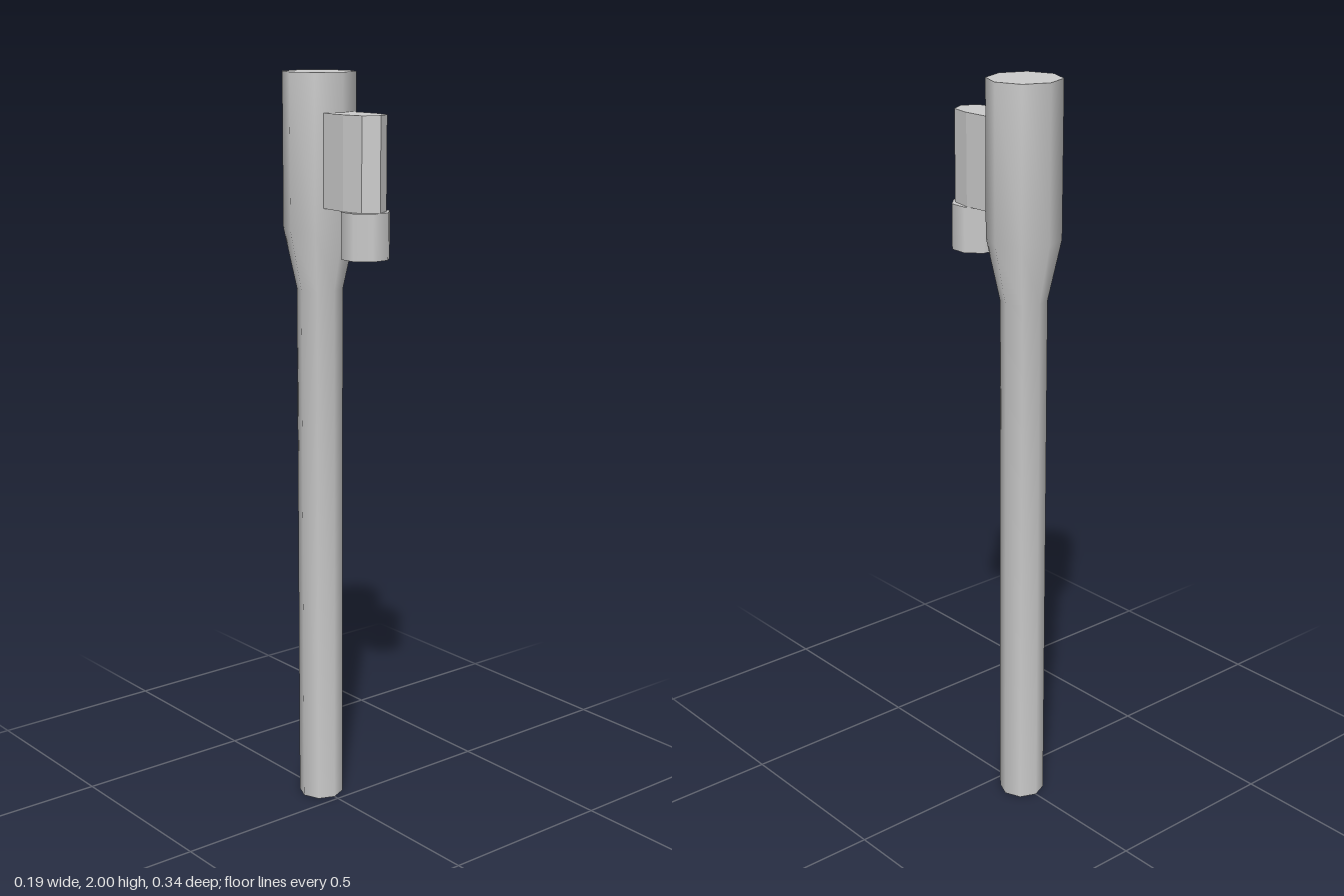
import * as THREE from 'three';
import { toCreasedNormals } from 'three/addons/utils/BufferGeometryUtils.js';

export function createModel() {
  const group = new THREE.Group();
  const material = new THREE.MeshStandardMaterial({ color: 0xcccccc });
  const add = (name, geometry, y, z) => {
    const mesh = new THREE.Mesh(geometry, material);
    mesh.name = name;
    mesh.position.set(0, y, z);
    group.add(mesh);
  };

  // Eight-sided post, flaring to a wider head, closed at both ends
  const profile = [[0, 0], [0.061, 0], [0.061, 1.44], [0.096, 1.6], [0.096, 2], [0, 2]]
    .map(([r, y]) => new THREE.Vector2(r, y));
  add('post', toCreasedNormals(new THREE.LatheGeometry(profile, 8), 1), 0, -0.076);

  // Housing reaching forward from the head, with a pointed nose
  const half = [[0.046, -0.02], [0.052, 0.085], [0.041, 0.145]];
  const outline = [
    ...half.map(([x, z]) => new THREE.Vector2(x, -z)),
    new THREE.Vector2(0, -0.169),
    ...half.map(([x, z]) => new THREE.Vector2(-x, -z)).reverse(),
  ];
  const housing = new THREE.ExtrudeGeometry(new THREE.Shape(outline), { depth: 0.24, bevelEnabled: false });
  housing.rotateX(-Math.PI / 2);
  add('housing', housing, 1.66, 0);

  // Short eight-sided nozzle under the housing, flat side forward
  const nozzle = new THREE.CylinderGeometry(0.065, 0.065, 0.12, 8, 1, false, Math.PI / 8);
  add('nozzle', nozzle, 1.6, 0.111);

  return group;
}
